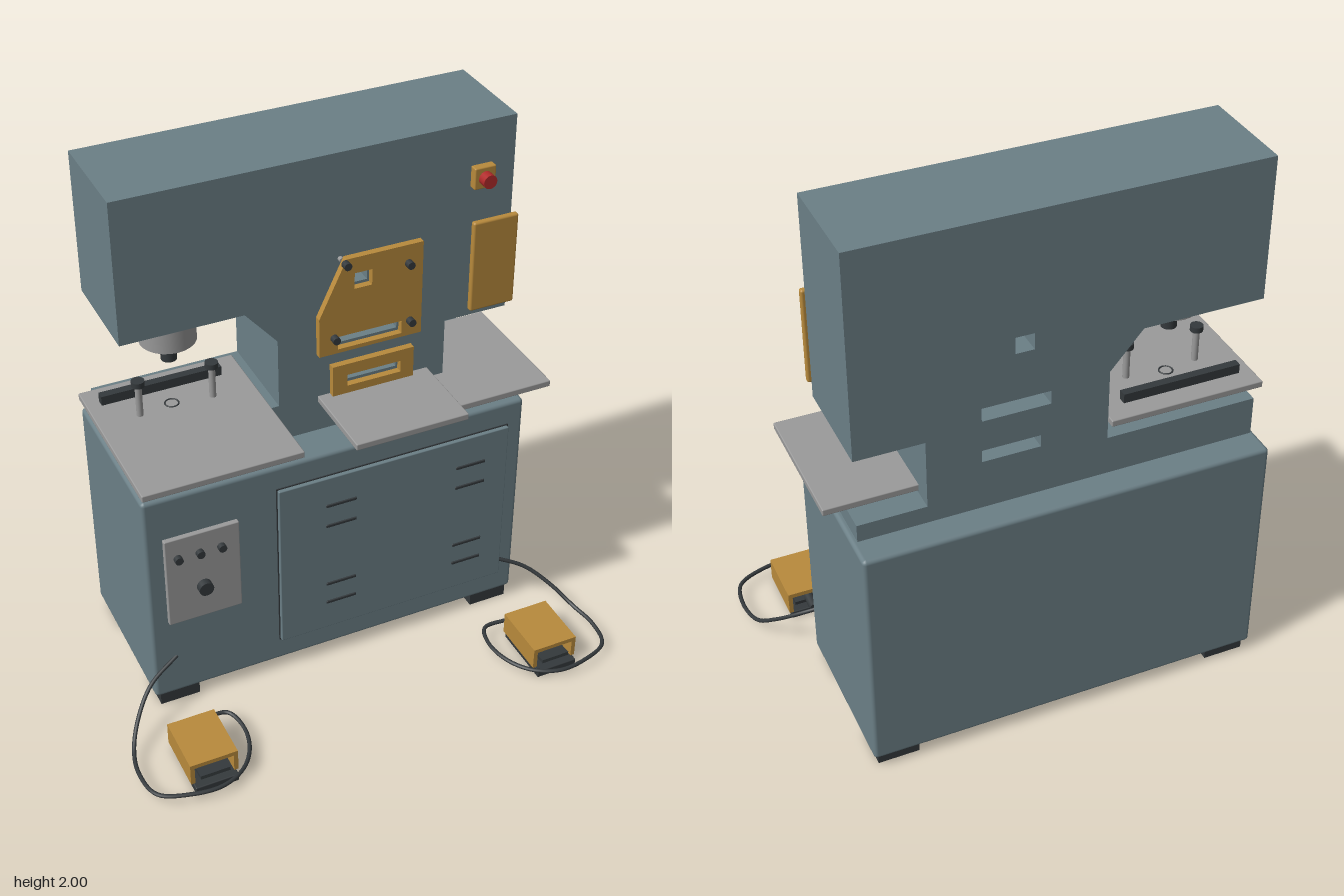
import * as THREE from 'three';
import { RoundedBoxGeometry } from 'three/addons/geometries/RoundedBoxGeometry.js';

const paint = (color) => new THREE.MeshStandardMaterial({ color });

export function createModel() {
  const root = new THREE.Group();
  root.name = 'punchingMachine';
  const blue = paint(0x6b7f86), yellow = paint(0xb88a3c), steel = paint(0x9a9a9a);
  const dark = paint(0x34393c), red = paint(0xb02a2a);

  const add = (name, geometry, material, parent = root) => {
    const mesh = new THREE.Mesh(geometry, material);
    mesh.name = name;
    parent.add(mesh);
    return mesh;
  };
  // Box given by its extents; an optional radius softens the edges
  const box = (name, [x0, x1], [y0, y1], [z0, z1], material, radius = 0, parent = root) => {
    const size = [x1 - x0, y1 - y0, z1 - z0];
    const geometry = radius ? new RoundedBoxGeometry(...size, 2, radius) : new THREE.BoxGeometry(...size);
    const mesh = add(name, geometry, material, parent);
    mesh.position.set((x0 + x1) / 2, (y0 + y1) / 2, (z0 + z1) / 2);
    return mesh;
  };
  // Upright cylinder between two heights
  const post = (name, r, x, z, y0, y1, material) => {
    const mesh = add(name, new THREE.CylinderGeometry(r, r, y1 - y0, 24), material);
    mesh.position.set(x, (y0 + y1) / 2, z);
  };
  // Cylinder pointing forward between two depths
  const pin = (name, r, x, y, z0, z1, material, parent = root) => {
    const mesh = add(name, new THREE.CylinderGeometry(r, r, z1 - z0, 20), material, parent);
    mesh.rotation.x = Math.PI / 2;
    mesh.position.set(x, y, (z0 + z1) / 2);
  };
  const points = (list) => list.map(([x, y]) => new THREE.Vector2(x, y));
  const rect = (x0, x1, y0, y1) => [[x0, y0], [x1, y0], [x1, y1], [x0, y1]];
  // Flat outline with openings, extruded between two depths
  const plate = (name, outline, holes, z0, z1, material) => {
    const shape = new THREE.Shape(points(outline));
    for (const hole of holes) shape.holes.push(new THREE.Path(points(hole)));
    const geometry = new THREE.ExtrudeGeometry(shape, { depth: z1 - z0, bevelEnabled: false });
    geometry.translate(0, 0, z0);
    return add(name, geometry, material);
  };

  // Base cabinet and feet
  box('cabinet', [-0.73, 0.73], [0.05, 0.935], [-0.56, 0.062], blue, 0.015);
  for (const s of [-1, 1]) for (const z of [-0.465, -0.017]) {
    box('foot', [s * 0.635 - 0.075, s * 0.635 + 0.075], [0.005, 0.052], [z - 0.073, z + 0.073], dark);
  }

  // C-shaped upper frame with through openings
  const square = rect(0.1, 0.165, 1.505, 1.565);
  const upperSlot = rect(0.04, 0.28, 1.28, 1.33);
  const lowerSlot = rect(0.075, 0.28, 1.12, 1.165);
  plate('frame', [
    [-0.715, 0.93], [0.71, 0.93], [0.71, 1.0], [0.47, 1.0], [0.47, 1.255], [0.71, 1.255],
    [0.71, 2], [-0.715, 2], [-0.715, 1.48], [-0.28, 1.48], [-0.165, 1.345], [-0.165, 1.08], [-0.715, 1.08],
  ], [square, upperSlot, lowerSlot], -0.455, -0.08, blue);

  // Punch ram
  post('ram', 0.098, -0.503, -0.22, 1.37, 1.48, steel);
  post('punch', 0.028, -0.503, -0.22, 1.29, 1.371, dark);

  // Work tables and their brackets
  box('punchTable', [-0.775, -0.205], [1.08, 1.105], [-0.41, 0.225], steel, 0.004);
  box('shearTable', [-0.02, 0.405], [1.055, 1.08], [-0.08, 0.235], steel, 0.004);
  box('notchTable', [0.415, 0.795], [1.01, 1.035], [-0.38, 0.125], steel, 0.004);
  box('punchTableBracket', [-0.53, -0.285], [0.995, 1.08], [-0.08, 0.02], blue);
  box('shearTableBracket', [0.07, 0.315], [0.96, 1.055], [-0.08, 0.025], blue);
  const die = add('dieRing', new THREE.TorusGeometry(0.024, 0.003, 6, 24), dark);
  die.rotation.x = Math.PI / 2;
  die.position.set(-0.503, 1.105, -0.22);

  // Fence and clamp posts
  box('fence', [-0.725, -0.285], [1.105, 1.14], [-0.335, -0.305], dark);
  for (const x of [-0.625, -0.36]) {
    post('clampPost', 0.012, x, -0.2, 1.105, 1.226, steel);
    post('clampKnob', 0.023, x, -0.2, 1.225, 1.246, dark);
  }

  // Notching tool
  box('notchTool', [0.49, 0.685], [1.22, 1.256], [-0.345, -0.155], dark);

  // Guard plates with bolts and spacers
  plate('mainGuard', [[-0.03, 1.265], [0.355, 1.265], [0.355, 1.625], [0.07, 1.625], [-0.03, 1.415]],
    [square, upperSlot], -0.065, -0.04, yellow);
  for (const [x, y] of [[0.065, 1.61], [0.3, 1.555], [0.025, 1.33], [0.31, 1.325]]) {
    pin('guardBolt', 0.014, x, y, -0.041, -0.015, dark);
    pin('guardSpacer', 0.009, x, y, -0.082, -0.064, steel);
  }
  plate('lowerGuard', rect(0.02, 0.33, 1.09, 1.21), [lowerSlot], -0.065, -0.04, yellow);
  box('sideGuard', [0.545, 0.718], [1.295, 1.645], [-0.062, -0.038], yellow, 0.008);
  for (const y of [1.37, 1.57]) pin('sideGuardSpacer', 0.009, 0.63, y, -0.082, -0.06, steel);
  for (const x of [0.045, 0.305]) pin('lowerGuardSpacer', 0.009, x, 1.15, -0.082, -0.064, steel);

  // Emergency stop
  box('stopBox', [0.545, 0.625], [1.765, 1.845], [-0.082, -0.05], yellow, 0.005);
  pin('stopButton', 0.025, 0.585, 1.805, -0.051, -0.015, red);

  // Control panel
  box('controlPanel', [-0.665, -0.39], [0.39, 0.765], [0.055, 0.08], steel, 0.004);
  for (const x of [-0.62, -0.54, -0.46]) pin('panelButton', 0.015, x, 0.682, 0.079, 0.1, dark);
  pin('panelKnob', 0.027, -0.53, 0.53, 0.079, 0.108, dark);

  // Door with louvres and a thin dark seam
  box('doorSeam', [-0.244, 0.669], [0.146, 0.844], [0.055, 0.066], dark);
  box('door', [-0.24, 0.665], [0.15, 0.84], [0.055, 0.08], blue, 0.004);
  for (const x of [-0.003, 0.513]) for (const y of [0.72, 0.63, 0.36, 0.273]) {
    box('louvre', [x - 0.059, x + 0.059], [y - 0.006, y + 0.006], [0.075, 0.085], dark, 0.003);
  }

  // Foot pedals with looping cables, one on each side
  const cable = [
    [0.677, 0.06, 0.25], [0.61, 0.052, 0.235], [0.525, 0.048, 0.235], [0.498, 0.045, 0.32],
    [0.52, 0.045, 0.43], [0.58, 0.045, 0.51], [0.67, 0.045, 0.55], [0.78, 0.045, 0.54],
    [0.885, 0.042, 0.49], [0.91, 0.042, 0.38], [0.89, 0.05, 0.27], [0.84, 0.105, 0.185],
    [0.76, 0.17, 0.11], [0.64, 0.22, 0.058],
  ];
  for (const s of [-1, 1]) {
    const pedal = new THREE.Group();
    pedal.name = s < 0 ? 'rightPedal' : 'leftPedal';
    root.add(pedal);
    const c = s * 0.675;
    box('pedalBase', [c - 0.08, c + 0.08], [0.005, 0.035], [0.27, 0.515], dark, 0.004, pedal);
    box('pedalTop', [c - 0.088, c + 0.088], [0.105, 0.122], [0.27, 0.49], yellow, 0, pedal);
    for (const side of [-1, 1]) {
      const x = c + side * 0.08;
      box('pedalSide', [x - 0.008, x + 0.008], [0.035, 0.106], [0.27, 0.49], yellow, 0, pedal);
    }
    const treadle = box('treadle', [c - 0.055, c + 0.055], [0.046, 0.06], [0.3, 0.5], dark, 0, pedal);
    treadle.rotation.x = -0.08;
    pin('cableSocket', 0.018, c, 0.06, 0.235, 0.305, dark, pedal);
    const path = new THREE.CatmullRomCurve3(cable.map(([x, y, z]) => new THREE.Vector3(s * x, y, z)));
    add('cable', new THREE.TubeGeometry(path, 90, 0.0075, 8), dark, pedal);
  }
  return root;
}
